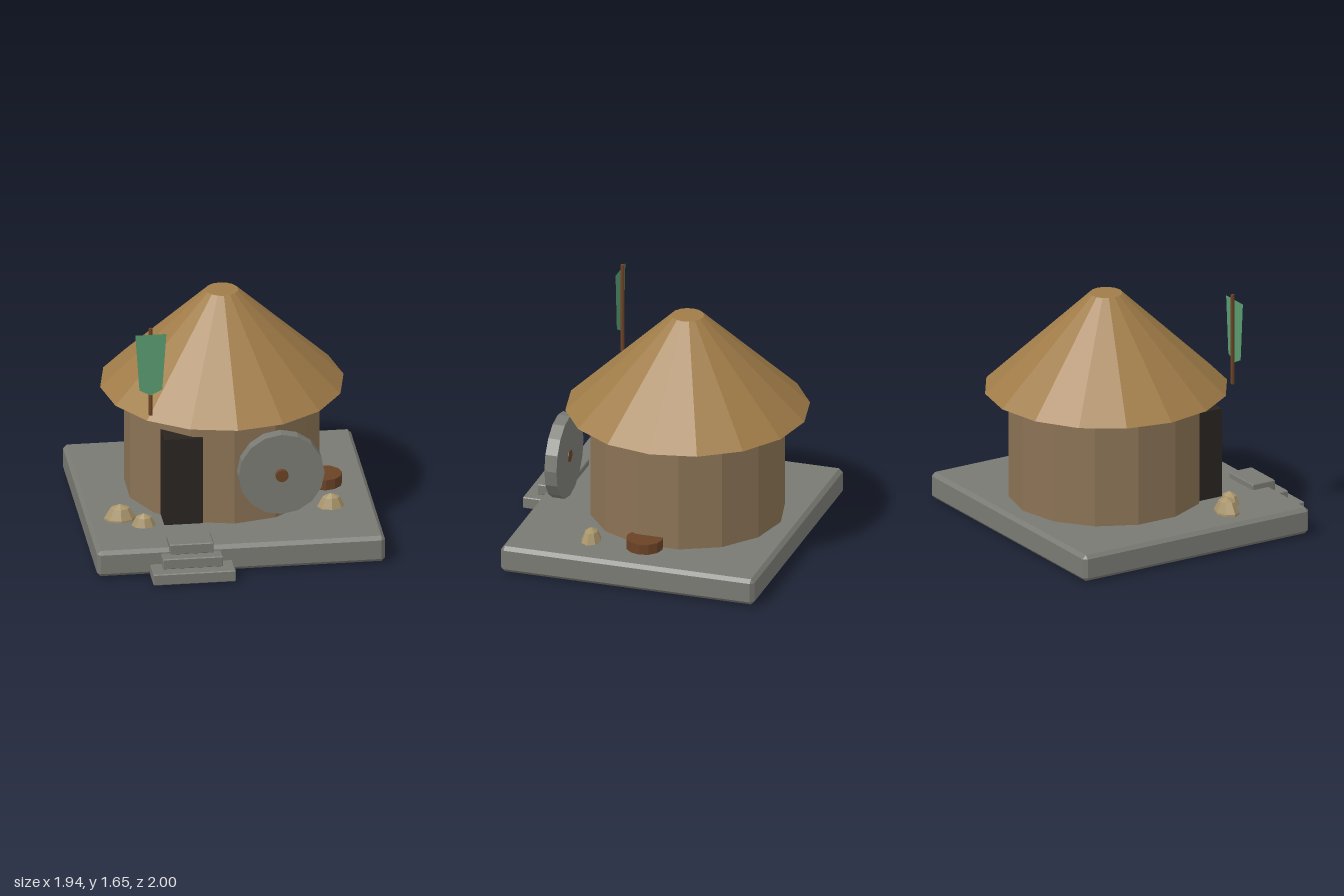
import * as THREE from 'three';
import { ConvexGeometry } from 'three/addons/geometries/ConvexGeometry.js';

const paint = (color, side = THREE.FrontSide) =>
  new THREE.MeshStandardMaterial({ color, flatShading: true, side });
const STONE = paint(0x7a7a74);
const CLAY = paint(0x8b7355);
const THATCH = paint(0xa07c48);
const WOOD = paint(0x6b4226);
const DARK = paint(0x2a2420);
const ROCK = paint(0xa8946a);
const CLOTH = paint(0x5a9a70, THREE.DoubleSide);

// Box with every edge chamfered by b, as the hull of 24 points
function chamferBox(w, h, d, b) {
  const points = [];
  for (const sx of [-1, 1]) for (const sy of [-1, 1]) for (const sz of [-1, 1]) {
    const x = w / 2, y = h / 2, z = d / 2;
    points.push(
      new THREE.Vector3(sx * x, sy * (y - b), sz * (z - b)),
      new THREE.Vector3(sx * (x - b), sy * y, sz * (z - b)),
      new THREE.Vector3(sx * (x - b), sy * (y - b), sz * z));
  }
  return new ConvexGeometry(points);
}

export function createModel() {
  const model = new THREE.Group();
  model.name = 'hut';

  function add(name, geometry, material, x, y, z) {
    const mesh = new THREE.Mesh(geometry, material);
    mesh.name = name;
    mesh.position.set(x, y, z);
    model.add(mesh);
    return mesh;
  }

  // Stone platform
  add('platform', chamferBox(1.94, 0.185, 1.78, 0.025), STONE, 0, 0.0925, -0.07);

  // Three narrowing steps up to the door
  const steps = [[0.555, 0.04, 0.91], [0.405, 0.115, 0.83], [0.295, 0.1875, 0.76]];
  steps.forEach(([width, y, z], i) =>
    add(`step${i + 1}`, chamferBox(width, i ? 0.075 : 0.08, 0.18, 0.006), STONE, -0.338, y, z));

  // Round wall and thatched roof
  add('wall', new THREE.CylinderGeometry(0.655, 0.655, 0.755, 14), CLAY, 0, 0.5625, -0.18);
  add('roof', new THREE.CylinderGeometry(0.11, 0.82, 0.67, 16), THATCH, 0, 1.275, -0.18);

  // Dark doorway
  add('door', new THREE.BoxGeometry(0.26, 0.625, 0.2), DARK, -0.34, 0.4975, 0.34);

  // Millstone and its wooden hub
  add('millstone', new THREE.CylinderGeometry(0.29, 0.29, 0.085, 16), STONE, 0.295, 0.6, 0.593)
    .rotation.x = Math.PI / 2;
  add('millstoneHub', new THREE.CylinderGeometry(0.043, 0.043, 0.12, 10), WOOD, 0.295, 0.6, 0.607)
    .rotation.x = Math.PI / 2;

  // Banner on a pole
  add('bannerPole', new THREE.CylinderGeometry(0.013, 0.013, 0.635, 8), WOOD, -0.565, 1.3275, 0.463);
  const cloth = new THREE.Shape([
    [-0.105, 0.225], [-0.077, -0.18], [0, -0.22], [0.077, -0.18], [0.105, 0.225],
  ].map(([x, y]) => new THREE.Vector2(x, y)));
  add('banner', new THREE.ShapeGeometry(cloth), CLOTH, -0.565, 1.38, 0.478);

  // Low wooden tub against the wall
  add('tub', new THREE.CylinderGeometry(0.125, 0.125, 0.075, 12), WOOD, 0.675, 0.22, -0.1);

  // Half-buried rocks: x, z, radius x, radius z, top height
  const rocks = [
    [-0.75, 0.3, 0.112, 0.08, 0.295],
    [-0.605, 0.415, 0.092, 0.07, 0.27],
    [0.675, 0.275, 0.1, 0.072, 0.28],
  ];
  rocks.forEach(([x, z, rx, rz, top], i) =>
    add(`rock${i + 1}`, new THREE.SphereGeometry(1, 8, 5), ROCK, x, top - 0.14, z)
      .scale.set(rx, 0.14, rz));

  return model;
}
